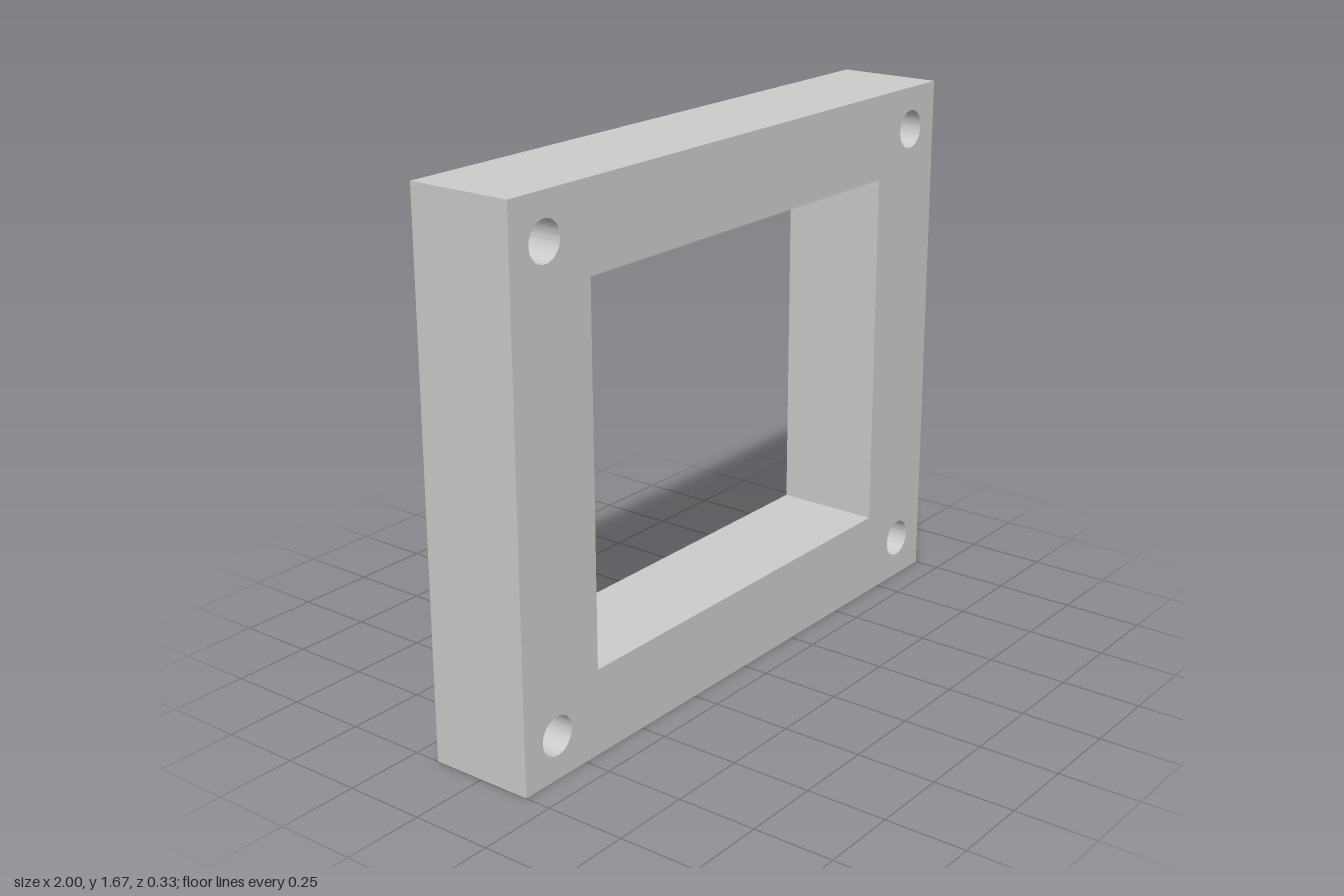
import * as THREE from 'three';
import { toCreasedNormals } from 'three/addons/utils/BufferGeometryUtils.js';

const WIDTH = 2, HEIGHT = 1.667, DEPTH = 0.333;
const OPENING_WIDTH = 1.383, OPENING_HEIGHT = 1.137;
const HOLE_X = 0.867, HOLE_Y = 0.7, HOLE_RADIUS = 0.06;

// Adds a centred rectangle to a shape or path
function rectangle(path, w, h) {
  path.moveTo(-w / 2, -h / 2);
  path.lineTo(w / 2, -h / 2);
  path.lineTo(w / 2, h / 2);
  path.lineTo(-w / 2, h / 2);
  path.closePath();
  return path;
}

export function createModel() {
  const group = new THREE.Group();
  group.name = 'mountingFrame';

  // Outer plate with the rectangular opening
  const outline = rectangle(new THREE.Shape(), WIDTH, HEIGHT);
  outline.holes.push(rectangle(new THREE.Path(), OPENING_WIDTH, OPENING_HEIGHT));

  // Round bolt holes through the four corners
  for (const sx of [-1, 1]) {
    for (const sy of [-1, 1]) {
      const hole = new THREE.Path();
      hole.absarc(sx * HOLE_X, sy * HOLE_Y, HOLE_RADIUS, 0, Math.PI * 2, true);
      outline.holes.push(hole);
    }
  }

  const extruded = new THREE.ExtrudeGeometry(outline, {
    depth: DEPTH, bevelEnabled: false, curveSegments: 48,
  });
  extruded.translate(0, HEIGHT / 2, -DEPTH / 2);

  // Smooth hole walls, sharp frame edges
  const frame = new THREE.Mesh(
    toCreasedNormals(extruded, Math.PI / 6),
    new THREE.MeshStandardMaterial({ color: 0xcccccc }),
  );
  frame.name = 'frame';
  group.add(frame);
  return group;
}
